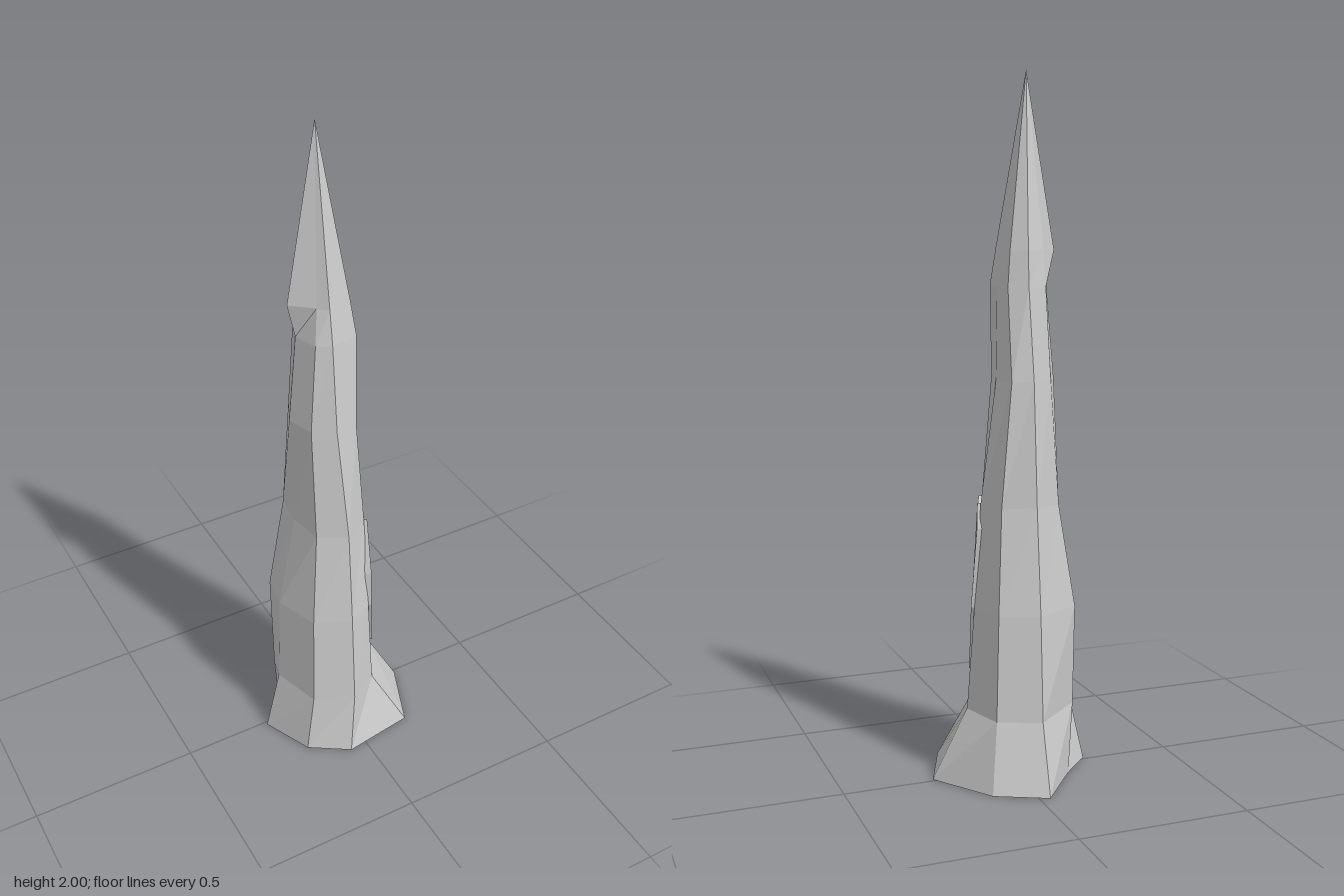
import * as THREE from 'three';

// Cross-sections from foot to shoulder: height, then eight x,z corners
// running from the left side (+x) round the front.
const RINGS = [
  [0.0, [0.235, 0.01, 0.16, 0.2, -0.055, 0.232, -0.17, 0.158, -0.237, 0.01, -0.15, -0.08, -0.03, -0.235, 0.115, -0.165]],
  [0.2, [0.13, 0.01, 0.06, 0.155, -0.03, 0.205, -0.145, 0.155, -0.19, 0.01, -0.175, -0.05, -0.03, -0.178, 0.09, -0.13]],
  [0.5, [0.11, 0.0, 0.045, 0.15, -0.03, 0.185, -0.135, 0.14, -0.18, 0.01, -0.165, -0.085, -0.03, -0.16, 0.08, -0.12]],
  [0.8, [0.09, 0.0, 0.045, 0.115, -0.03, 0.16, -0.11, 0.115, -0.125, 0.01, -0.115, -0.08, -0.03, -0.13, 0.06, -0.09]],
  [1.15, [0.055, -0.03, 0.015, 0.115, -0.05, 0.125, -0.11, 0.09, -0.135, 0.01, -0.09, -0.08, -0.03, -0.105, 0.03, -0.09]],
  [1.41, [0.04, 0.0, 0.03, 0.085, -0.05, 0.1, -0.09, 0.08, -0.112, 0.01, -0.08, -0.065, -0.02, -0.09, 0.03, -0.06]],
  [1.51, [0.026, 0.0, 0.018, 0.072, -0.05, 0.085, -0.075, 0.06, -0.135, 0.01, -0.076, -0.055, -0.022, -0.08, 0.02, -0.05]],
];
const SIDES = 8;
const TIP = new THREE.Vector3(-0.05, 2, 0.01);

const corner = (r, i) => {
  const [y, p] = RINGS[r];
  const k = (i % SIDES) * 2;
  return new THREE.Vector3(p[k], y, p[k + 1]);
};

function facetedMesh(name, points) {
  const geometry = new THREE.BufferGeometry().setFromPoints(points);
  geometry.computeVertexNormals();
  const mesh = new THREE.Mesh(geometry, new THREE.MeshStandardMaterial({ color: 0xcccccc, flatShading: true }));
  mesh.name = name;
  return mesh;
}

// Main rock: lofted rings, pointed tip and closed underside
function spike() {
  const tris = [];
  const last = RINGS.length - 1;
  const foot = new THREE.Vector3(0, 0, 0);
  for (let i = 0; i < SIDES; i++) {
    for (let r = 0; r < last; r++) {
      const a = corner(r, i), b = corner(r, i + 1), c = corner(r + 1, i), d = corner(r + 1, i + 1);
      tris.push(a, c, b, b, c, d);
    }
    tris.push(corner(last, i), TIP, corner(last, i + 1));
    tris.push(foot, corner(0, i), corner(0, i + 1));
  }
  return facetedMesh('rockSpike', tris);
}

// Point on the front-left facet at a given z and height, pushed out by lift
function onFacet(z, y, lift) {
  let r = 1;
  while (r < 3 && y > RINGS[r + 1][0]) r++;
  r = Math.min(r, 2);
  const t = (y - RINGS[r][0]) / (RINGS[r + 1][0] - RINGS[r][0]);
  const a = corner(r, 0).lerp(corner(r + 1, 0), t);
  const b = corner(r, 1).lerp(corner(r + 1, 1), t);
  const s = THREE.MathUtils.clamp((z - a.z) / (b.z - a.z), 0, 1);
  return new THREE.Vector3(THREE.MathUtils.lerp(a.x, b.x, s) + lift * 0.9, y, z + lift * 0.4);
}

// Thin jagged flake raised on the facet
function flake() {
  const outline = [[0.11, 0.8], [0.05, 0.73], [0.01, 0.8], [-0.01, 0.73], [0.0, 0.5], [0.09, 0.29], [0.148, 0.5], [0.145, 0.62]];
  const tris = [];
  const centre = onFacet(0.06, 0.58, 0.012);
  outline.forEach(([z, y], i) => {
    const [z2, y2] = outline[(i + 1) % outline.length];
    const a = onFacet(z, y, 0.01), b = onFacet(z2, y2, 0.01);
    const c = onFacet(z, y, -0.01), d = onFacet(z2, y2, -0.01);
    tris.push(centre, b, a, a, b, c, b, d, c);
  });
  const mesh = facetedMesh('rockFlake', tris);
  mesh.material.side = THREE.DoubleSide;
  return mesh;
}

export function createModel() {
  const group = new THREE.Group();
  group.name = 'stalagmite';
  group.add(spike(), flake());
  return group;
}
